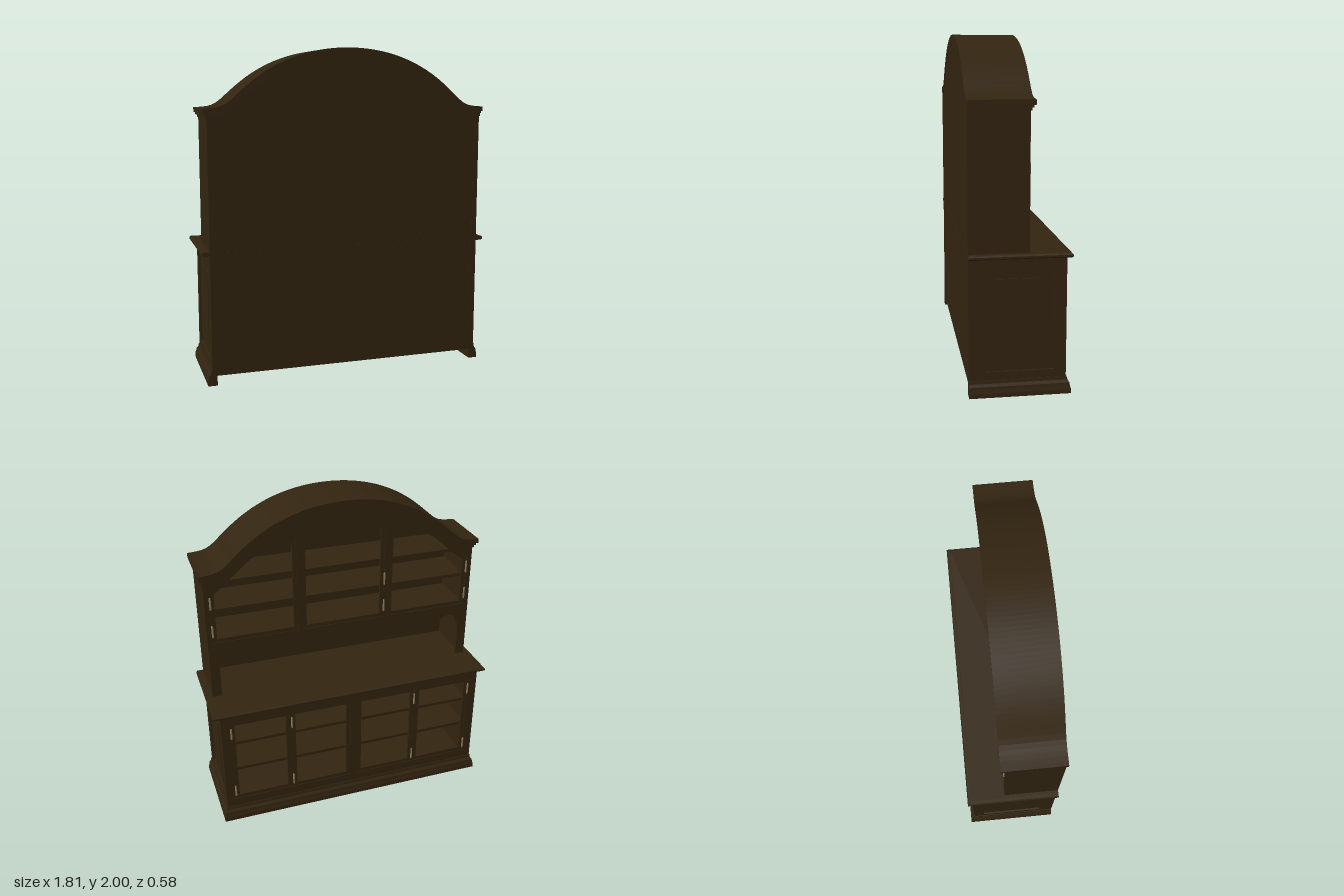
import * as THREE from 'three';

const wood = new THREE.MeshStandardMaterial({ color: 0x322410, side: THREE.DoubleSide });
wood.name = 'dark wood';
const brass = new THREE.MeshStandardMaterial({ color: 0x8a7a58 });
brass.name = 'aged brass';

const BACK = -0.29, BASE_FRONT = 0.26, UPPER_FRONT = 0.05, HALF = 0.86;

// Height of the arched top at a given x: a broad arch easing into flat ends
function archY(x) {
  const d = 0.355 - 0.46 * x * x - 0.3 * x ** 4;
  return 1.643 + (d + Math.sqrt(d * d + 0.0034)) / 2;
}

function archPoints(half, drop, n = 64) {
  return Array.from({ length: n + 1 }, (_, i) => {
    const x = half - (2 * half * i) / n;
    return new THREE.Vector2(x, archY(x) - drop);
  });
}

function rectPoints(x0, x1, y0, y1) {
  return [[x0, y0], [x1, y0], [x1, y1], [x0, y1]].map(p => new THREE.Vector2(...p));
}

export function createModel() {
  const model = new THREE.Group();
  model.name = 'displayCabinet';
  const body = new THREE.Group(); // built with its doors toward +z, then turned
  body.name = 'cabinetBody';
  body.rotation.y = Math.PI;
  model.add(body);

  function add(name, geometry, material = wood) {
    const mesh = new THREE.Mesh(geometry, material);
    mesh.name = name;
    body.add(mesh);
    return mesh;
  }
  function box(name, x0, x1, y0, y1, z0, z1) {
    const m = add(name, new THREE.BoxGeometry(x1 - x0, y1 - y0, z1 - z0));
    m.position.set((x0 + x1) / 2, (y0 + y1) / 2, (z0 + z1) / 2);
    return m;
  }
  function plate(name, points, holes, z0, z1) {
    const shape = new THREE.Shape(points);
    shape.holes = holes.map(h => new THREE.Path(h));
    const m = add(name, new THREE.ExtrudeGeometry(shape, { depth: z1 - z0, bevelEnabled: false }));
    m.position.z = z0;
    return m;
  }
  // Moulding wrapped around both sides and the front; profile is [outward, y]
  function moulding(name, profile, half, front) {
    const pos = [];
    const rings = profile.map(([o, y]) => [
      [-half - o, y, BACK], [-half - o, y, front + o], [half + o, y, front + o], [half + o, y, BACK]]);
    rings.forEach((a, i) => {
      const b = rings[(i + 1) % rings.length];
      for (let k = 0; k < 3; k++) pos.push(...a[k], ...a[k + 1], ...b[k + 1], ...a[k], ...b[k + 1], ...b[k]);
    });
    for (let i = 1; i < rings.length - 1; i++) {
      for (const k of [0, 3]) pos.push(...rings[0][k], ...rings[i][k], ...rings[i + 1][k]);
    }
    const g = new THREE.BufferGeometry();
    g.setAttribute('position', new THREE.Float32BufferAttribute(pos, 3));
    g.computeVertexNormals();
    add(name, g);
  }
  function hinge(x, y, z) {
    const barrel = add('hingeBarrel', new THREE.CylinderGeometry(0.006, 0.006, 0.055, 8), brass);
    barrel.position.set(x, y, z);
    for (const s of [-1, 1]) {
      const tip = add('hingeTip', new THREE.SphereGeometry(0.006, 8, 6), brass);
      tip.scale.y = 1.8;
      tip.position.set(x, y + s * 0.032, z);
    }
  }

  // Base: plinth moulding, hollow underneath
  moulding('plinthMoulding', [[-0.03, 0], [0.026, 0], [0.026, 0.025], [0.02, 0.045], [0.018, 0.06],
    [0.007, 0.075], [0.004, 0.095], [-0.03, 0.095]], HALF, BASE_FRONT);
  box('bottomBoard', -0.84, 0.84, 0.07, 0.095, BACK + 0.005, 0.24);

  // Lower front frame with four doors
  const lowerPanes = [[-0.775, -0.45], [-0.39, -0.05], [0.05, 0.39], [0.45, 0.775]];
  const lowerHole = ([a, b], m) => rectPoints(a - m, b + m, 0.175 - m, 0.715 + m);
  plate('lowerFrontFrame', rectPoints(-HALF, HALF, 0.09, 0.79),
    lowerPanes.map(p => lowerHole(p, 0.024)), 0.235, BASE_FRONT);
  lowerPanes.forEach((p, i) => {
    plate('lowerDoorFrame', lowerHole(p, 0.024), [lowerHole(p, 0)], 0.238, BASE_FRONT - 0.004);
    const x = i < 2 ? p[0] - 0.024 : p[1] + 0.024;
    for (const y of [0.215, 0.66]) hinge(x, y, BASE_FRONT + 0.002);
  });

  // Lower sides with a raised panel inside a frame
  for (const s of [-1, 1]) {
    const xs = (a, b) => (s > 0 ? [a, b] : [-b, -a]);
    box('lowerSide', ...xs(0.82, 0.85), 0.08, 0.79, BACK, 0.24);
    box('raisedSidePanel', ...xs(0.85, 0.856), 0.2, 0.67, -0.15, 0.13);
    const frame = plate('sidePanelFrame', rectPoints(BACK, 0.24, 0.09, 0.79),
      [rectPoints(-0.2, 0.19, 0.14, 0.73)], 0, 0.012);
    frame.rotation.y = -Math.PI / 2;
    frame.position.x = s > 0 ? HALF : -HALF + 0.012;
  }
  for (const y of [0.33, 0.53]) box('lowerShelf', -0.82, 0.82, y, y + 0.02, BACK + 0.01, 0.2);

  // Counter with a rounded edge
  box('counterTop', -0.88, 0.88, 0.79, 0.815, BACK, 0.26);
  moulding('counterEdge', [[0, 0.79], [0.018, 0.79], [0.026, 0.797], [0.026, 0.807], [0.019, 0.815], [0, 0.815]],
    0.879, 0.259);

  // Upper front: three arched openings above a scalloped niche
  const upperPanes = [
    { x: [-0.8, -0.32], top: [[-0.32, 1.77], [-0.44, 1.755], [-0.57, 1.7], [-0.7, 1.59], [-0.8, 1.51]] },
    { x: [-0.24, 0.24], top: [[0.24, 1.79], [0.12, 1.835], [0, 1.85], [-0.12, 1.835], [-0.24, 1.79]] },
  ];
  upperPanes.push({ x: [0.32, 0.8], top: upperPanes[0].top.map(([x, y]) => [-x, y]).reverse() });
  function upperHole({ x: [a, b], top }, m) {
    const curve = new THREE.SplineCurve(top.map(([x, y]) =>
      new THREE.Vector2(a - m + ((x - a) / (b - a)) * (b - a + 2 * m), y + m)));
    return [new THREE.Vector2(a - m, 1.215 - m), new THREE.Vector2(b + m, 1.215 - m), ...curve.getPoints(20)];
  }
  const halfApron = [[-0.8, 1.02], [-0.785, 1.08], [-0.74, 1.12], [-0.68, 1.11], [-0.64, 1.08], [-0.5, 1.09],
    [-0.36, 1.13], [-0.22, 1.12], [-0.1, 1.085]];
  const apron = new THREE.SplineCurve([...halfApron, [0, 1.075], ...halfApron.map(([x, y]) => [-x, y]).reverse()]
    .map(p => new THREE.Vector2(...p))).getPoints(90);
  const v = (x, y) => new THREE.Vector2(x, y);
  plate('upperFrontFrame', [v(-HALF, 0.815), v(-0.8, 0.815), ...apron, v(0.8, 0.815), v(HALF, 0.815),
    ...archPoints(HALF, 0.03)], upperPanes.map(p => upperHole(p, 0.024)), 0.028, UPPER_FRONT);
  for (const p of upperPanes) {
    plate('upperDoorFrame', upperHole(p, 0.024), [upperHole(p, 0)], 0.03, UPPER_FRONT - 0.004);
  }
  for (const x of [-0.825, 0.265, 0.825]) for (const y of [1.27, 1.455]) hinge(x, y, UPPER_FRONT + 0.002);

  // Upper sides, floor and shelves
  for (const s of [-1, 1]) {
    const [a, b] = s > 0 ? [0.83, HALF] : [-HALF, -0.83];
    box('upperSide', a, b, 0.815, 1.61, BACK, 0.03);
  }
  box('upperFloor', -0.83, 0.83, 1.17, 1.19, BACK + 0.01, 0.03);
  for (const y of [1.37, 1.55]) box('upperShelf', -0.83, 0.83, y, y + 0.02, BACK + 0.01, 0);

  // Back panel
  plate('backPanel', [v(-0.852, 0.06), v(0.852, 0.06), ...archPoints(0.852, 0.03)], [], BACK + 0.003, BACK + 0.014);

  // Arched crown in three stepped layers
  for (const [half, upper, lower, front] of [
    [0.885, 0, 0.028, 0.077], [0.875, 0.02, 0.043, 0.067], [0.866, 0.035, 0.06, 0.058]]) {
    plate('crownLayer', [...archPoints(half, upper), ...archPoints(half, lower).reverse()], [], BACK, front);
  }
  return model;
}
